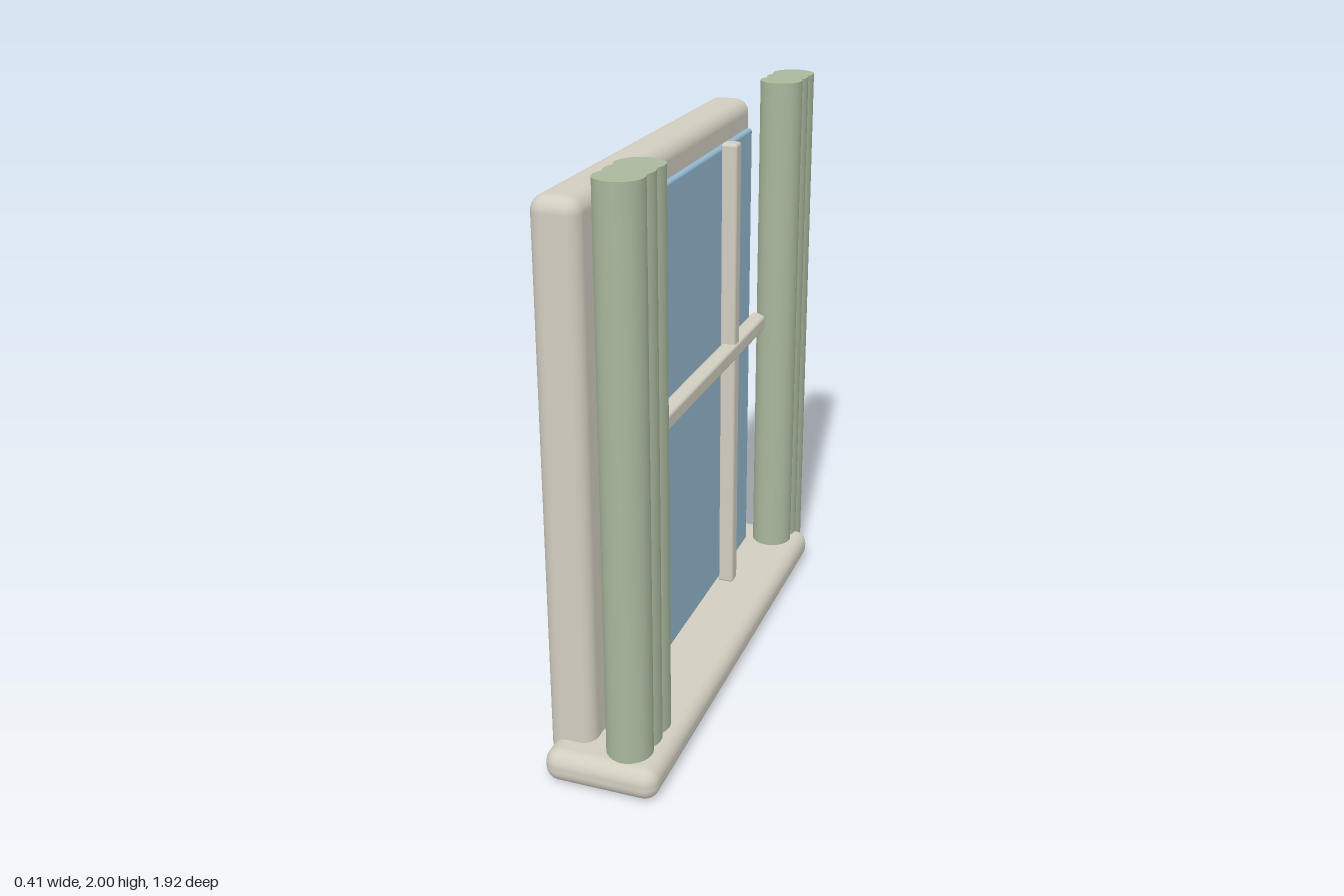
import * as THREE from 'three';
import { RoundedBoxGeometry } from 'three/addons/geometries/RoundedBoxGeometry.js';

export function createModel() {
  const model = new THREE.Group();
  model.name = 'curtainedWindow';

  const material = (name, color) => {
    const m = new THREE.MeshStandardMaterial({ color });
    m.name = name;
    return m;
  };
  const stone = material('warmStone', 0xd2cdc0);
  const glass = material('blueGlass', 0x94b8d0);
  const cloth = material('sageCloth', 0xa9b89d);

  // Rounded block given by its [min, max] extents on each axis
  function block(name, mat, [x0, x1], [y0, y1], [z0, z1], radius) {
    const geometry = new RoundedBoxGeometry(x1 - x0, y1 - y0, z1 - z0, 4, radius);
    const mesh = new THREE.Mesh(geometry, mat);
    mesh.name = name;
    mesh.position.set((x0 + x1) / 2, (y0 + y1) / 2, (z0 + z1) / 2);
    model.add(mesh);
  }

  // Backing frame, pane and sill; the window looks toward +x
  block('frame', stone, [-0.205, -0.045], [0.03, 1.925], [-0.752, 0.866], 0.05);
  block('pane', glass, [-0.037, -0.01], [0.128, 1.83], [-0.655, 0.767], 0.011);
  block('sill', stone, [-0.187, 0.203], [0, 0.115], [-0.843, 0.958], 0.05);

  // Glazing bars
  for (const z of [-0.334, 0.45]) {
    block('verticalBar', stone, [-0.017, 0.044], [0.11, 1.845], [z - 0.03, z + 0.03], 0.012);
  }
  block('horizontalBar', stone, [-0.01, 0.05], [1.045, 1.104], [-0.69, 0.8], 0.012);

  // Curtains, each of three overlapping round folds
  for (const [name, z] of [['rightCurtain', -0.804], ['leftCurtain', 0.765]]) {
    const curtain = new THREE.Group();
    curtain.name = name;
    for (const offset of [-0.079, 0, 0.079]) {
      const fold = new THREE.Mesh(new THREE.CylinderGeometry(0.077, 0.077, 1.93, 40), cloth);
      fold.name = 'fold';
      fold.position.set(0.077, 1.035, z + offset);
      curtain.add(fold);
    }
    model.add(curtain);
  }
  return model;
}
